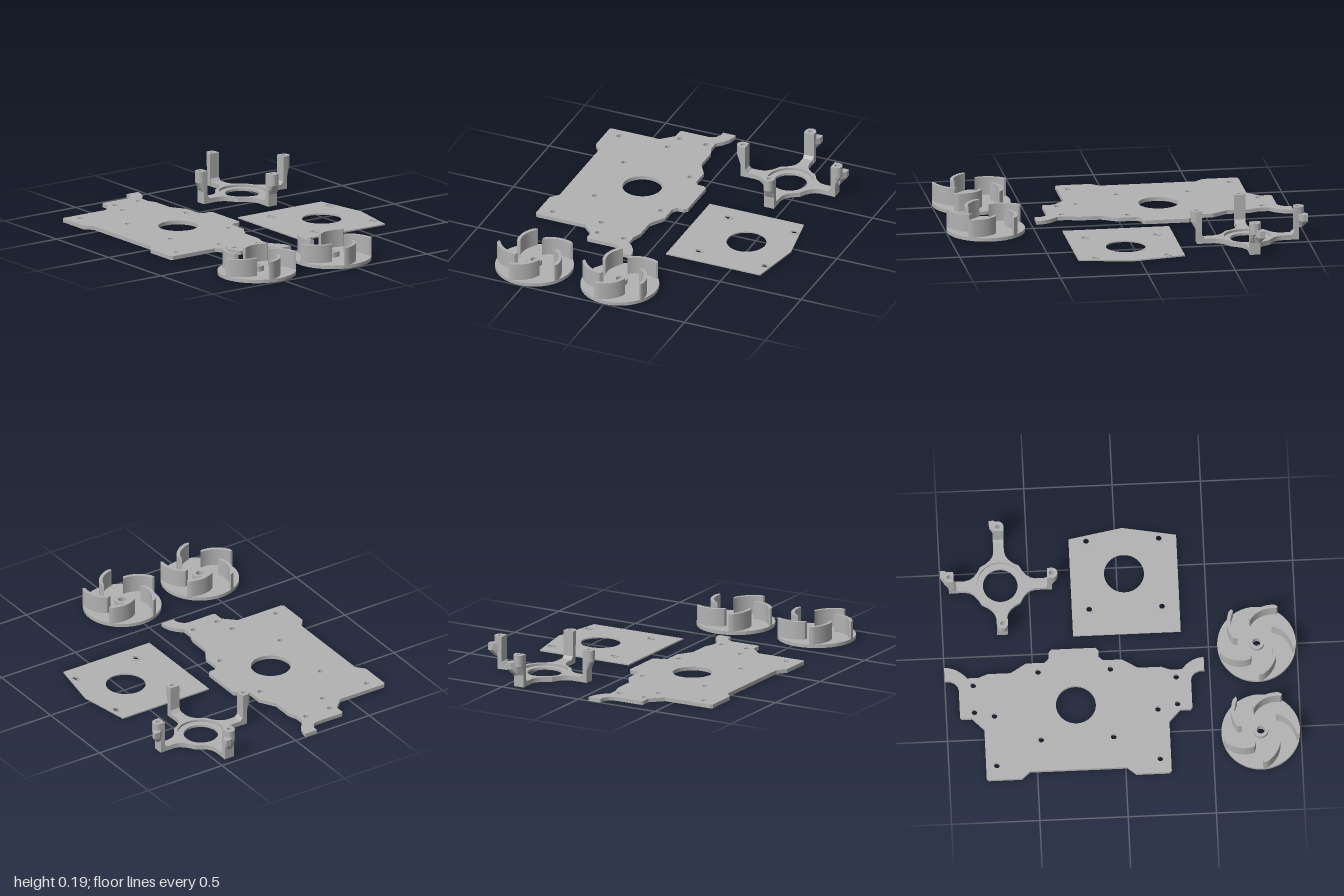
import * as THREE from 'three';
import { toCreasedNormals } from 'three/addons/utils/BufferGeometryUtils.js';

const grey = new THREE.MeshStandardMaterial({ color: 0xb2b2b2 });
grey.name = 'plain grey';

// Horizontal slab from an [x, z] outline with round holes [x, z, r], between two heights
function slabGeometry(points, holes, bottom, top) {
  const shape = new THREE.Shape(points.map(([x, z]) => new THREE.Vector2(x, z)));
  for (const [x, z, r] of holes) {
    const hole = new THREE.Path();
    hole.absarc(x, z, r, 0, Math.PI * 2, true);
    shape.holes.push(hole);
  }
  const geo = new THREE.ExtrudeGeometry(shape, { depth: top - bottom, bevelEnabled: false, curveSegments: 32 });
  geo.rotateX(Math.PI / 2);
  geo.translate(0, top, 0);
  return geo;
}

function addMesh(parent, name, geo) {
  const mesh = new THREE.Mesh(toCreasedNormals(geo, 0.5), grey);
  mesh.name = name;
  parent.add(mesh);
  return mesh;
}

const slab = (parent, name, points, holes, bottom, top) =>
  addMesh(parent, name, slabGeometry(points, holes, bottom, top));

function circle(r, n = 72) {
  return Array.from({ length: n }, (_, i) => {
    const a = (i / n) * Math.PI * 2;
    return [r * Math.cos(a), r * Math.sin(a)];
  });
}

// Large plate, mirrored about its own centre line
function mainPlate() {
  const g = new THREE.Group();
  g.name = 'mainPlate';
  g.position.x = -0.265;
  const half = [
    [0.125, -0.017], [0.142, 0.002], [0.142, 0.038], [0.165, 0.06], [0.272, 0.06], [0.361, 0.114],
    [0.49, 0.114], [0.545, 0.134], [0.607, 0.134], [0.635, 0.105], [0.67, 0.081], [0.705, 0.069],
    [0.735, 0.066], [0.735, 0.145], [0.705, 0.146], [0.68, 0.158], [0.663, 0.178], [0.658, 0.2],
    [0.658, 0.365], [0.648, 0.376], [0.59, 0.376], [0.524, 0.445], [0.524, 0.74], [0.514, 0.751],
    [0.323, 0.751], [0.275, 0.71],
  ];
  const outline = [...half, ...half.map(([x, z]) => [-x, z]).reverse()];
  const holes = [[0, 0.32, 0.113]];
  for (const [x, z] of [[0.205, 0.114], [0.205, 0.522], [0.575, 0.178], [0.575, 0.34], [0.463, 0.367], [0.463, 0.666]])
    holes.push([x, z, 0.016], [-x, z, 0.016]);
  slab(g, 'mainPlateBody', outline, holes, 0, 0.022);
  return g;
}

// Thin cover plate with a shallow gabled edge and low collars around its screw holes
function coverPlate() {
  const g = new THREE.Group();
  g.name = 'coverPlate';
  g.position.set(0.043, 0, -0.461);
  const screws = [];
  for (const x of [-0.206, 0.206]) for (const z of [-0.204, 0.206]) screws.push([x, z, 0.016]);
  slab(g, 'coverPlateBody',
    [[-0.305, -0.22], [0, -0.275], [0.305, -0.22], [0.305, 0.363], [-0.305, 0.363]],
    [[0, 0, 0.113], ...screws], 0, 0.008);
  for (const [x, z] of screws)
    slab(g, 'screwCollar', circle(0.027, 32), [[0, 0, 0.016]], 0.007, 0.011).position.set(x, 0, z);
  return g;
}

// Disc with a hub and five spiral blades
function impeller(z) {
  const g = new THREE.Group();
  g.name = 'impeller';
  g.position.set(0.773, 0, z);
  slab(g, 'impellerDisc', circle(0.223), [[0, 0, 0.023]], 0, 0.02);
  slab(g, 'impellerHub', circle(0.042, 40), [[0, 0, 0.023]], 0.019, 0.05);
  const inner = [], outer = [], steps = 16, rad = Math.PI / 180;
  for (let i = 0; i <= steps; i++) {
    const t = i / steps;
    const a = (36 + 53 * t) * rad;
    const r = 0.12 + 0.102 * t;
    const w = 0.012;
    outer.push([Math.min(r + w, 0.223) * Math.cos(a), Math.min(r + w, 0.223) * Math.sin(a)]);
    inner.push([(r - w) * Math.cos(a), (r - w) * Math.sin(a)]);
  }
  for (let k = 0; k < 5; k++)
    slab(g, 'blade', [...outer, ...inner.reverse()], [], 0.019, 0.122).rotation.y = k * 72 * rad, inner.reverse();
  return g;
}

// Four-armed bracket with a stepped ring and upright posts
function bracket() {
  const g = new THREE.Group();
  g.name = 'bracket';
  g.position.set(-0.66, 0, -0.418);
  const quarter = [
    [0.292, 0.03], [0.2, 0.03], [0.172, 0.037], [0.15, 0.052], [0.13, 0.075], [0.11, 0.11],
    [0.075, 0.13], [0.052, 0.15], [0.037, 0.172], [0.03, 0.2], [0.03, 0.292],
  ];
  const outline = [];
  for (let k = 0, pts = quarter; k < 4; k++, pts = pts.map(([x, z]) => [-z, x])) outline.push(...pts);
  slab(g, 'bracketBase', outline, [[0, 0, 0.098]], 0, 0.014);
  slab(g, 'bracketRim', outline, [[0, 0, 0.133]], 0.014, 0.028);

  // Round-ended post section, pointing along +x
  const section = [[0.265, 0.031], [0.265, -0.031]];
  for (let i = 0; i <= 16; i++) {
    const a = -Math.PI / 2 + (i / 16) * Math.PI;
    section.push([0.292 + 0.032 * Math.cos(a), 0.031 * Math.sin(a)]);
  }
  for (let k = 0; k < 4; k++) {
    const post = new THREE.Group();
    post.name = 'post';
    post.rotation.y = k * Math.PI / 2;
    g.add(post);
    slab(post, 'postTop', section, [[0.29, 0, 0.013]], 0.125, 0.19);
    // Gusset narrows down to the thin wall
    const gusset = slabGeometry(section, [], 0.07, 0.125);
    const p = gusset.attributes.position;
    for (let i = 0; i < p.count; i++) if (p.getY(i) < 0.1) p.setX(i, Math.min(p.getX(i), 0.292));
    gusset.computeVertexNormals();
    addMesh(post, 'postGusset', gusset);
    slab(post, 'postWall', [[0.265, -0.031], [0.292, -0.031], [0.292, 0.031], [0.265, 0.031]], [], 0, 0.07);
    // Small fillet where the wall meets the arm
    const fillet = slabGeometry([[0.248, -0.03], [0.266, -0.03], [0.266, 0.03], [0.248, 0.03]], [], 0.027, 0.046);
    const q = fillet.attributes.position;
    for (let i = 0; i < q.count; i++) if (q.getY(i) > 0.04) q.setX(i, 0.266);
    fillet.computeVertexNormals();
    addMesh(post, 'postFillet', fillet);
  }

  // Diagonal hooks on two of the posts, tapering below
  const hook = [[-0.05, -0.053], [-0.022, -0.053], [0.008, -0.026], [-0.026, 0.008], [-0.05, -0.022]];
  for (const [x, z] of [[-0.29, 0], [0, -0.29]]) {
    const geo = slabGeometry(hook, [], 0.11, 0.15);
    addMesh(g, 'hook', geo).position.set(x, 0, z);
    const taper = slabGeometry(hook, [], 0.07, 0.11);
    const p = taper.attributes.position;
    for (let i = 0; i < p.count; i++)
      if (p.getY(i) < 0.09) {
        p.setX(i, Math.max(p.getX(i), -0.02));
        p.setZ(i, Math.max(p.getZ(i), -0.02));
      }
    taper.computeVertexNormals();
    addMesh(g, 'hookTaper', taper).position.set(x, 0, z);
  }
  return g;
}

export function createModel() {
  const model = new THREE.Group();
  model.name = 'partsLayout';
  model.add(mainPlate(), coverPlate(), bracket(), impeller(0), impeller(0.528));
  return model;
}
